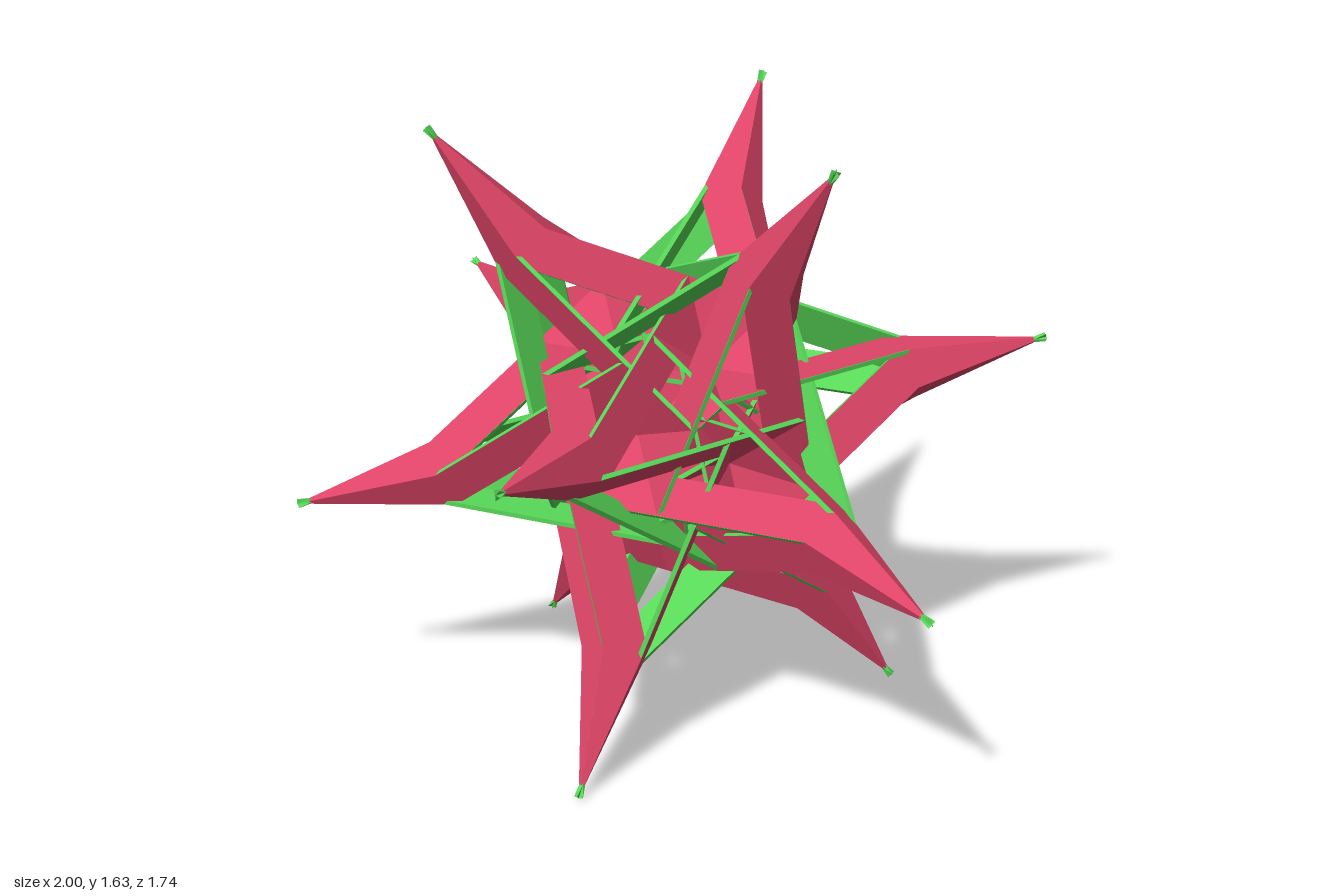
import * as THREE from 'three';

const THICK = 0.012;

// Twelve spike tips: corners of an icosahedron standing on a face
function spikeTips() {
  const tips = [];
  for (const [radius, y, turn] of [[0.618, 0.809, 0], [1, 0.191, Math.PI]]) {
    for (let k = 0; k < 3; k++) {
      const a = turn + k * Math.PI * 2 / 3;
      const tip = new THREE.Vector3(radius * Math.cos(a), y, radius * Math.sin(a));
      tips.push(tip, tip.clone().negate());
    }
  }
  return tips;
}

// Flat pinwheel with three bent, pointed arms around a small hub
function plateShape() {
  const arm = [
    [0.183, -0.19],    // hub junction
    [0.183, 0.1755],   // inside of the hook
    [0.585, -0.0566],  // inside of the bar
    [1, 0],            // spike tip
    [0.618, 0.052],    // outside of the bar
    [0.073, 0.367],    // outside of the hook
  ];
  const points = [];
  for (let k = 0; k < 3; k++) {
    const c = Math.cos(k * Math.PI * 2 / 3), s = Math.sin(k * Math.PI * 2 / 3);
    for (const [u, v] of arm) points.push(new THREE.Vector2(u * c - v * s, -(u * s + v * c)));
  }
  return new THREE.Shape(points);
}

export function createModel() {
  const model = new THREE.Group();
  model.name = 'interlockedStar';
  const red = new THREE.MeshStandardMaterial({ color: 0xdd4466 });
  const green = new THREE.MeshStandardMaterial({ color: 0x58d858 });

  // Red outer skin over a thin green backing
  const shape = plateShape();
  const skin = new THREE.ShapeGeometry(shape);
  const backing = new THREE.ExtrudeGeometry(shape, { depth: THICK, bevelEnabled: false });
  backing.translate(0, 0, -THICK - 0.001);

  function addPlate(a, b, c) {
    const centre = new THREE.Vector3().add(a).add(b).add(c).divideScalar(3);
    const normal = centre.clone().normalize();
    const along = a.clone().sub(centre).normalize();
    const across = new THREE.Vector3().crossVectors(normal, along);
    const plate = new THREE.Group();
    plate.name = 'pinwheelPlate';
    const front = new THREE.Mesh(skin, red);
    front.name = 'plateFace';
    const back = new THREE.Mesh(backing, green);
    back.name = 'plateBacking';
    plate.add(front, back);
    plate.quaternion.setFromRotationMatrix(new THREE.Matrix4().makeBasis(along, across, normal));
    plate.position.copy(centre);
    plate.position.y += 0.809;
    model.add(plate);
  }

  // One plate for every three tips that are mutually two steps apart
  const tips = spikeTips();
  const apart = (p, q) => Math.abs(p.dot(q) + 0.4635) < 0.05;
  for (let i = 0; i < 12; i++)
    for (let j = i + 1; j < 12; j++)
      for (let k = j + 1; k < 12; k++)
        if (apart(tips[i], tips[j]) && apart(tips[j], tips[k]) && apart(tips[i], tips[k]))
          addPlate(tips[i], tips[j], tips[k]);

  return model;
}
